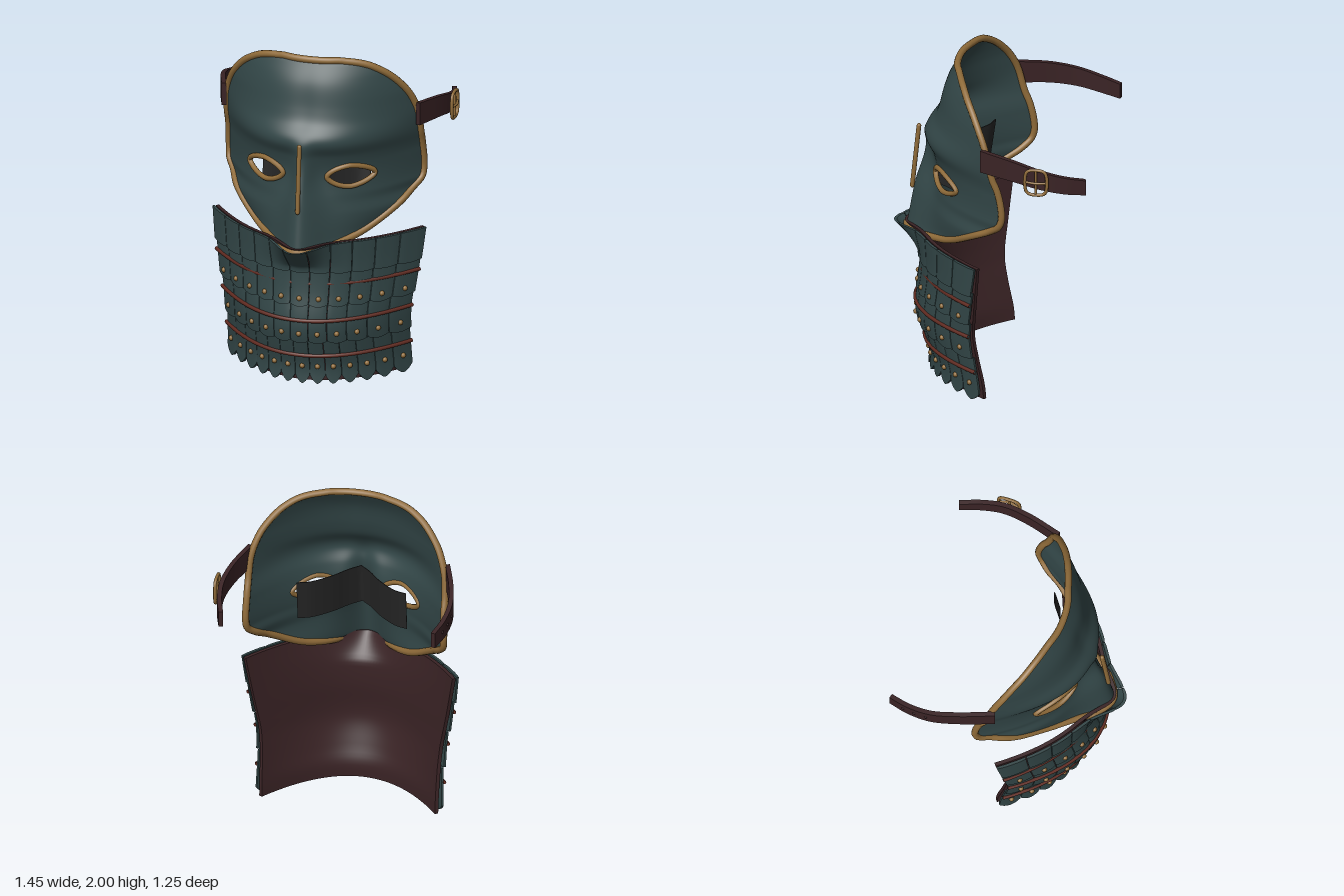
import * as THREE from 'three';
import { mergeGeometries } from 'three/addons/utils/BufferGeometryUtils.js';

const mat = (name, color) =>
  Object.assign(new THREE.MeshStandardMaterial({ color, side: THREE.DoubleSide }), { name });
const V = (x, y, z) => new THREE.Vector3(x, y, z);

// Smooth interpolation through [key, value] knots
function curveThrough(...k) {
  const slope = (i) => {
    const a = k[Math.max(i - 1, 0)], b = k[Math.min(i + 1, k.length - 1)];
    return (b[1] - a[1]) / (b[0] - a[0]);
  };
  return (t) => {
    let i = 0;
    while (i < k.length - 2 && t > k[i + 1][0]) i++;
    const [x0, y0] = k[i], [x1, y1] = k[i + 1], h = x1 - x0;
    const s = Math.min(1, Math.max(0, (t - x0) / h)), s2 = s * s, s3 = s2 * s;
    return (2 * s3 - 3 * s2 + 1) * y0 + (s3 - 2 * s2 + s) * h * slope(i)
      + (3 * s2 - 2 * s3) * y1 + (s3 - s2) * h * slope(i + 1);
  };
}

// Grid surface from f(a, b), a and b in 0..1; skip(point) leaves holes
function sheet(f, na, nb, skip) {
  const pos = [], idx = [], pts = [];
  for (let j = 0; j <= nb; j++) for (let i = 0; i <= na; i++) {
    const p = f(i / na, j / nb);
    pts.push(p);
    pos.push(p.x, p.y, p.z);
  }
  for (let j = 0; j < nb; j++) for (let i = 0; i < na; i++) {
    const a = j * (na + 1) + i, b = a + 1, c = a + na + 1, d = c + 1;
    if (skip && skip(pts[a].clone().add(pts[d]).multiplyScalar(0.5))) continue;
    idx.push(a, b, d, a, d, c);
  }
  const g = new THREE.BufferGeometry();
  g.setAttribute('position', new THREE.Float32BufferAttribute(pos, 3));
  g.setIndex(idx);
  g.computeVertexNormals();
  return g;
}

// Closed slab from f(a, b, w), w = 0 inner face, 1 outer face
const slab = (f, na, nb) => mergeGeometries([
  sheet((a, b) => f(a, b, 1), na, nb),
  sheet((a, b) => f(1 - a, b, 0), na, nb),
  sheet((a, w) => f(a, 0, w), na, 1), sheet((a, w) => f(a, 1, 1 - w), na, 1),
  sheet((w, b) => f(0, b, w), 1, nb), sheet((w, b) => f(1, b, 1 - w), 1, nb),
]);

const tube = (pts, r, closed = false, n = 60, sides = 8) =>
  new THREE.TubeGeometry(new THREE.CatmullRomCurve3(pts, closed), n, r, sides, closed);

// Mask profiles by height
const BOT = 0.87, TOP = 1.98;
const maskW = curveThrough([0.87, 0.13], [0.9, 0.235], [0.94, 0.33], [1.06, 0.49], [1.13, 0.55], [1.19, 0.592],
  [1.4, 0.594], [1.6, 0.588], [1.69, 0.568], [1.78, 0.528], [1.88, 0.445], [1.94, 0.355], [1.965, 0.28], [1.98, 0.17]);
const maskEdge = curveThrough([0.87, 0.43], [0.9, 0.335], [0.94, 0.24], [1.05, 0.09], [1.18, -0.095], [1.37, -0.1],
  [1.5, -0.055], [1.69, -0.005], [1.84, 0.07], [1.94, 0.145], [1.965, 0.175], [1.98, 0.21]);
const maskBase = curveThrough([0.87, 0.42], [1.1, 0.385], [1.3, 0.365], [1.42, 0.39], [1.5, 0.43], [1.55, 0.425],
  [1.63, 0.375], [1.7, 0.35], [1.85, 0.31], [1.98, 0.24]);
const nose = curveThrough([0.87, 0.13], [1.1, 0.125], [1.2, 0.115], [1.3, 0.09], [1.42, 0.045], [1.56, 0], [2, 0]);
const noseW = curveThrough([0.87, 0.13], [1.1, 0.11], [1.3, 0.065], [2, 0.065]);
function maskPoint(x, y, lift = 0) {
  const u = Math.abs(x) / maskW(y), e = maskEdge(y);
  return V(x, y, e + (maskBase(y) - e) * (1 - u ** 2.2) + nose(y) * Math.exp(-((x / noseW(y)) ** 2)) + lift);
}
const maskY = (t) => BOT + (TOP - BOT) * (1 - Math.cos(Math.PI * t)) / 2;
const EYE = { x: 0.26, y: 1.295, w: 0.125, h: 0.066 };
const inEye = (p) => Math.abs((Math.abs(p.x) - EYE.x) / EYE.w) ** 1.6 + Math.abs((p.y - EYE.y) / EYE.h) ** 1.6 < 1;

// Neck guard surface, u in -1..1, pushed outward by off; flare scales the chin spout
const neckW = curveThrough([0, 0.538], [0.28, 0.543], [0.43, 0.555], [0.5, 0.567], [0.65, 0.595], [0.92, 0.64]);
const neckEdge = curveThrough([0, 0], [0.1, 0.01], [0.28, 0.045], [0.43, 0.065], [0.65, 0.05], [0.92, 0.025]);
const neckMid = curveThrough([0, 0.375], [0.1, 0.375], [0.2, 0.41], [0.34, 0.455], [0.43, 0.46], [0.6, 0.44],
  [0.76, 0.44], [0.92, 0.465]);
function neckPoint(u, y, off, flare = 1) {
  const at = (s) => {
    const x = s * neckW(y), e = neckEdge(y);
    const spout = flare * 0.137 * Math.max(0, (y - 0.75) / 0.17) * Math.exp(-((x / 0.13) ** 2));
    return V(x, y - 0.2 * spout, e + (neckMid(y) - e) * (1 - Math.abs(s) ** 2) + spout);
  };
  const p = at(u), d = at(u + 0.01).sub(at(u - 0.01)).normalize();
  return p.add(V(-d.z * off, 0, d.x * off));
}

export function createModel() {
  const steel = mat('blued steel', 0x334748), brass = mat('brass', 0x8f6b39);
  const leather = mat('dark leather', 0x3a2325), cordRed = mat('rust cord', 0x602a20);
  const cloth = mat('charcoal cloth', 0x262626);
  const root = new THREE.Group();
  root.name = 'armouredMask';
  const add = (name, geo, m, parent = root) => {
    const mesh = new THREE.Mesh(geo, m);
    mesh.name = name;
    parent.add(mesh);
    return mesh;
  };
  const group = (name) => {
    const g = new THREE.Group();
    g.name = name;
    root.add(g);
    return g;
  };

  // Face shell with eye openings
  add('faceShell', sheet((a, b) => {
    const y = maskY(b);
    return maskPoint((2 * a - 1) * maskW(y), y);
  }, 104, 130, inEye), steel);

  // Rolled brass rim around the shell
  const rim = [], N = 28;
  for (let i = 0; i <= N; i++) rim.push(maskPoint(maskW(maskY(i / N)), maskY(i / N)));
  for (let i = 1; i < 6; i++) rim.push(maskPoint(maskW(TOP) * (1 - i / 3), TOP));
  for (let i = N; i >= 0; i--) rim.push(maskPoint(-maskW(maskY(i / N)), maskY(i / N)));
  for (let i = 1; i < 8; i++) rim.push(maskPoint(maskW(BOT) * (i / 4 - 1), BOT));
  add('shellRim', tube(rim, 0.021, true, 240, 10), brass);

  // Eye rims, nose bar and the cloth band behind the eyes
  for (const s of [1, -1]) {
    const pts = [];
    for (let i = 0; i < 40; i++) {
      const t = i / 40 * Math.PI * 2, c = Math.cos(t), n = Math.sin(t);
      pts.push(maskPoint(s * EYE.x + EYE.w * Math.sign(c) * Math.abs(c) ** 1.25,
        EYE.y + EYE.h * Math.sign(n) * Math.abs(n) ** 1.25, 0.008));
    }
    add(s > 0 ? 'leftEyeRim' : 'rightEyeRim', tube(pts, 0.016, true, 80), brass);
  }
  const bar = add('noseBar', new THREE.CapsuleGeometry(0.014, 0.4, 4, 10), brass);
  bar.position.set(0, 1.315, 0.498);
  bar.rotation.x = -0.1;
  const bandZ = curveThrough([0, 0.36], [0.07, 0.29], [0.14, 0.2], [0.25, 0.1], [0.33, 0.07]);
  add('eyeBand', slab((a, b, w) => {
    const x = (2 * a - 1) * 0.33;
    return V(x, 1.17 + 0.255 * b, bandZ(Math.abs(x)) + 0.035 * (1 - b) + 0.006 * w);
  }, 32, 2), cloth);

  // Side straps
  const path = new THREE.CatmullRomCurve3([V(0.595, 1.615, 0.01), V(0.66, 1.595, -0.2), V(0.688, 1.565, -0.36),
    V(0.675, 1.535, -0.5), V(0.64, 1.515, -0.625)]);
  for (const s of [1, -1]) {
    add(s > 0 ? 'leftStrap' : 'rightStrap', slab((a, b, w) => {
      const p = path.getPoint(a), t = path.getTangent(a), k = 0.028 * (w - 0.5);
      return V(s * (p.x - t.z * k), p.y + (b - 0.5) * (0.14 - 0.045 * a), p.z + t.x * k);
    }, 24, 2), leather);
  }
  // Buckle on the left strap
  const buckle = group('buckle'), bx = 0.722, by = 1.562, bz = -0.34;
  const corner = (z, y) => V(bx, by + y, bz + z);
  add('buckleFrame', tube([corner(-0.06, -0.055), corner(-0.04, -0.076), corner(0.04, -0.076), corner(0.06, -0.055),
    corner(0.06, 0.055), corner(0.04, 0.076), corner(-0.04, 0.076), corner(-0.06, 0.055)], 0.01, true, 64), brass, buckle);
  add('bucklePin', tube([corner(0, -0.075), corner(0, 0.075)], 0.008, false, 4), brass, buckle);
  add('buckleTongue', tube([corner(-0.06, 0), V(bx + 0.012, by, bz), corner(0.06, 0)], 0.008, false, 12), brass, buckle);
  // Studs on the right strap
  const stud = new THREE.SphereGeometry(0.012, 10, 6);
  for (const t of [0.55, 0.68, 0.82]) {
    const p = path.getPoint(t);
    add('strapStud', stud, leather).position.set(-p.x - 0.008, p.y, p.z);
  }

  // Leather lining of the neck guard
  add('neckLining', slab((a, b, w) => neckPoint(2 * a - 1, 0.01 + 0.905 * b, -0.02 + 0.022 * w, 0.72), 64, 36), leather);

  // Overlapping rows of plates with cords and rivets
  const rows = [
    { y0: 0.72, y1: 0.917, n: 11, drop: 0.008 },
    { y0: 0.51, y1: 0.745, n: 11, drop: 0.015, cord: 0.655, sink: 0.015, rivet: 0.56 },
    { y0: 0.275, y1: 0.52, n: 11, drop: 0.015, cord: 0.43, sink: 0, rivet: 0.34 },
    { y0: 0, y1: 0.285, n: 13, drop: 0.05, cord: 0.19, sink: 0, rivet: 0.11 },
  ];
  const rivetGeo = new THREE.SphereGeometry(0.016, 12, 8);
  rows.forEach((r, k) => {
    const g = group('plateRow' + (k + 1));
    for (let i = 0; i < r.n; i++) {
      const u0 = (i + 0.015) / r.n * 2 - 1, u1 = (i + 0.985) / r.n * 2 - 1;
      add('plate', slab((a, b, w) => {
        const e = Math.abs(2 * a - 1), low = r.y0 + r.drop * e ** 1.6;
        const lift = 0.01 + 0.014 * (1 - b);
        return neckPoint(u0 + (u1 - u0) * a, low + (r.y1 - low) * b,
          lift + w * (0.013 + 0.004 * (1 - e ** 4)));
      }, 8, 8), steel, g);
      if (r.rivet) {
        add('rivet', rivetGeo, brass, g).position.copy(neckPoint((u0 + u1) / 2, r.rivet, 0.038));
      }
    }
    if (r.cord) {
      const pts = [];
      for (let i = 0; i <= 40; i++) {
        const u = i / 20 - 1;
        pts.push(neckPoint(u, r.cord + 0.012 * (u * u - 0.5), 0.034 - r.sink * (1 - u * u)));
      }
      add('cord', tube(pts, 0.012, false, 90), cordRed, g);
    }
  });

  root.children.forEach((c) => { c.position.x -= 0.02; });
  return root;
}
